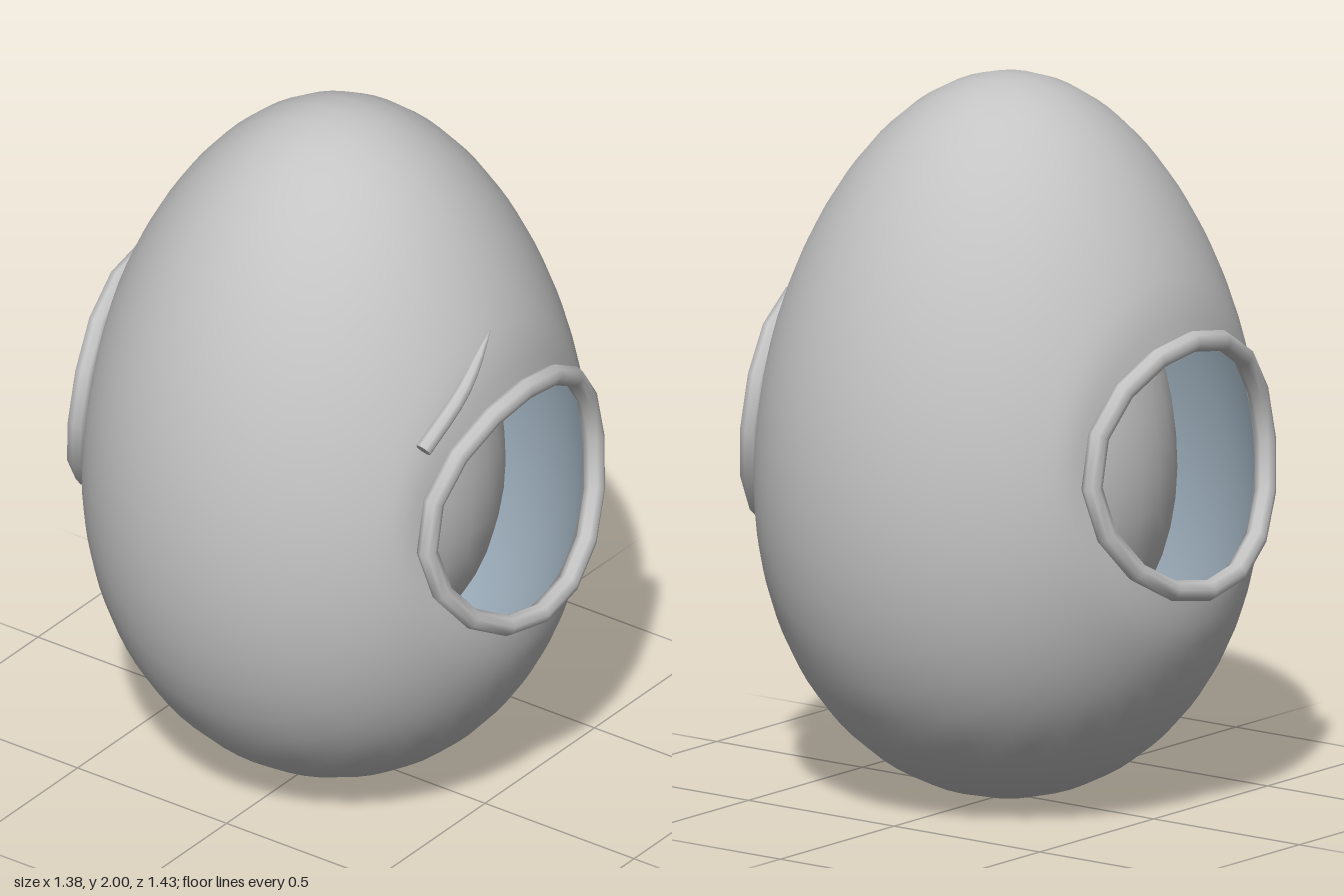
import * as THREE from 'three';
import { mergeGeometries, mergeVertices } from 'three/addons/utils/BufferGeometryUtils.js';

const shellGrey = new THREE.MeshStandardMaterial({ color: 0xc4c4c4 });
shellGrey.name = 'shellGrey';
const liningBlue = new THREE.MeshStandardMaterial({ color: 0x9aabb8 });
liningBlue.name = 'liningBlue';

// Egg radius at height 1 + u, for u from -1 to 1
const eggRadius = (u) => 0.684 * Math.sqrt(Math.max(0, 1 - u * u)) * (1 - 0.12 * u);

// Depth of the shell surface above a point in the front plane
const surfaceZ = (x, y) => Math.sqrt(Math.max(0, eggRadius(y - 1) ** 2 - x * x));

// Half the shell: loops spreading from the oval opening to the side seam
function halfShell() {
  const around = 48, loops = 18, positions = [], index = [];
  for (let i = 0; i <= loops; i++) {
    const s = Math.sin((i / loops) * Math.PI / 2);
    for (let j = 0; j < around; j++) {
      const a = (j / around) * Math.PI * 2, u = Math.sin(a);
      const seamX = Math.sign(Math.cos(a)) * eggRadius(u);
      const x = THREE.MathUtils.lerp(0.37 * Math.cos(a), seamX, s);
      const y = THREE.MathUtils.lerp(1.003 + 0.335 * u, 1 + u, s);
      // the surface dips slightly towards the opening
      const dip = 0.022 * Math.max(0, 1 - s / 0.25) ** 1.5;
      positions.push(x, y, i === loops ? 0 : surfaceZ(x, y) - dip);
      if (i < loops) {
        const k = (j + 1) % around, p = i * around, q = p + around;
        index.push(p + j, q + j, q + k, p + j, q + k, p + k);
      }
    }
  }
  const geometry = new THREE.BufferGeometry();
  geometry.setAttribute('position', new THREE.Float32BufferAttribute(positions, 3));
  geometry.setIndex(index);
  return geometry;
}

function shellGeometry() {
  const front = halfShell();
  const back = front.clone().rotateY(Math.PI);
  const geometry = mergeVertices(mergeGeometries([front, back]), 1e-4);
  geometry.computeVertexNormals();
  return geometry;
}

// The shell surface, set in a little and facing inwards
function liningGeometry(shell) {
  const geometry = shell.clone();
  const { position, normal } = geometry.attributes, index = geometry.index;
  const v = new THREE.Vector3(), n = new THREE.Vector3();
  for (let i = 0; i < position.count; i++) {
    n.fromBufferAttribute(normal, i);
    v.fromBufferAttribute(position, i).addScaledVector(n, -0.006);
    position.setXYZ(i, v.x, v.y, v.z);
  }
  for (let i = 0; i < index.count; i += 3) {
    const b = index.getX(i + 1);
    index.setX(i + 1, index.getX(i + 2));
    index.setX(i + 2, b);
  }
  geometry.computeVertexNormals();
  return geometry;
}

// Rim tube that follows the curve of the shell
function rimGeometry() {
  const points = [];
  for (let j = 0; j < 16; j++) {
    const a = (j / 16) * Math.PI * 2 + Math.PI / 2;
    const x = 0.381 * Math.cos(a), y = 1.003 + 0.342 * Math.sin(a);
    points.push(new THREE.Vector3(x, y, surfaceZ(x, y) + 0.018));
  }
  return new THREE.TubeGeometry(new THREE.CatmullRomCurve3(points, true), 16, 0.029, 8, true);
}

// Tapered bar, thick at the outer end and pointed at the inner end
function browGroup() {
  const curve = new THREE.CatmullRomCurve3([
    new THREE.Vector3(-0.35, 1.29, 0.55),
    new THREE.Vector3(-0.19, 1.41, 0.568),
    new THREE.Vector3(-0.02, 1.53, 0.54),
  ]);
  const steps = 8, sides = 8, radius = 0.023;
  const bar = new THREE.TubeGeometry(curve, steps, radius, sides);
  const position = bar.attributes.position, v = new THREE.Vector3();
  for (let i = 0; i <= steps; i++) {
    const centre = curve.getPointAt(i / steps);
    const scale = 1 - (i / steps) ** 3;
    for (let j = 0; j <= sides; j++) {
      const n = i * (sides + 1) + j;
      v.fromBufferAttribute(position, n).sub(centre).multiplyScalar(scale).add(centre);
      position.setXYZ(n, v.x, v.y, v.z);
    }
  }
  const group = new THREE.Group();
  group.name = 'brow';
  const cap = new THREE.Mesh(new THREE.CircleGeometry(radius, sides), shellGrey);
  cap.name = 'browEnd';
  cap.position.copy(curve.getPointAt(0));
  cap.lookAt(cap.position.clone().sub(curve.getTangentAt(0)));
  const barMesh = new THREE.Mesh(bar, shellGrey);
  barMesh.name = 'browBar';
  group.add(barMesh, cap);
  return group;
}

export function createModel() {
  const model = new THREE.Group();
  model.name = 'hollowEgg';
  const add = (name, geometry, material) => {
    const mesh = new THREE.Mesh(geometry, material);
    mesh.name = name;
    model.add(mesh);
    return mesh;
  };

  // Outer shell and its inside face
  const shell = shellGeometry();
  add('outerShell', shell, shellGrey);
  add('shellLining', liningGeometry(shell), liningBlue);

  // Smaller egg inside
  const profile = [];
  for (let i = 0; i <= 24; i++) {
    const u = -Math.cos((i / 24) * Math.PI);
    profile.push(new THREE.Vector2(eggRadius(u) * 0.667, 1 + u * 0.66));
  }
  add('innerEgg', new THREE.LatheGeometry(profile, 32), shellGrey);

  // Rims around the front and back openings
  const rim = rimGeometry();
  add('frontRim', rim, shellGrey);
  add('backRim', rim, shellGrey).rotation.y = Math.PI;

  model.add(browGroup());
  return model;
}
